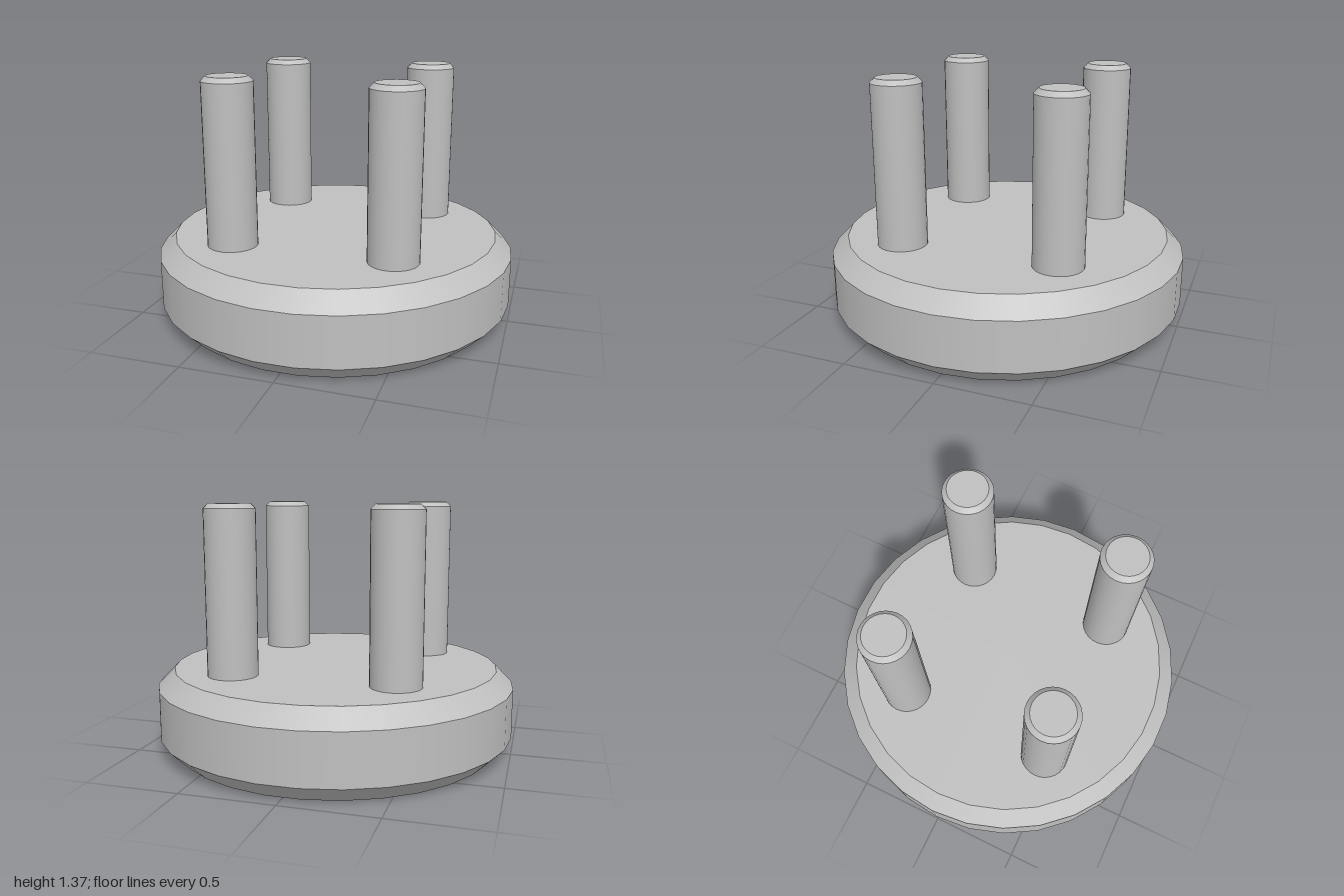
import * as THREE from 'three';

// Solid of revolution from [radius, y] pairs: each band is smooth, edges between bands stay sharp.
function turned(name, profile, sides, material) {
  const group = new THREE.Group();
  group.name = name;
  for (let i = 0; i < profile.length - 1; i++) {
    const [r0, y0] = profile[i];
    const [r1, y1] = profile[i + 1];
    const band = new THREE.CylinderGeometry(r1, r0, y1 - y0, sides, 1, true, Math.PI / 2);
    band.translate(0, (y0 + y1) / 2, 0);
    const mesh = new THREE.Mesh(band, material);
    mesh.name = `${name}Band${i + 1}`;
    group.add(mesh);
  }
  // flat end faces
  const ends = [['Bottom', profile[0], 1], ['Top', profile[profile.length - 1], -1]];
  for (const [label, [r, y], turn] of ends) {
    const cap = new THREE.CircleGeometry(r, sides);
    cap.rotateX(turn * Math.PI / 2);
    cap.translate(0, y, 0);
    const mesh = new THREE.Mesh(cap, material);
    mesh.name = name + label;
    group.add(mesh);
  }
  return group;
}

export function createModel() {
  const model = new THREE.Group();
  model.name = 'pinnedDisc';
  const grey = new THREE.MeshStandardMaterial({ color: 0xc0c0c0 });
  grey.name = 'grey';

  // Round base, chamfered above and below
  const base = [[0.908, 0], [1, 0.092], [1, 0.365], [0.908, 0.457]];
  model.add(turned('base', base, 30, grey));

  // Four upright pins with chamfered tips, sunk slightly into the base
  const pin = [[0.136, 0.44], [0.136, 1.34], [0.11, 1.366]];
  for (const [side, x] of [['Left', 0.444], ['Right', -0.444]]) {
    for (const [end, z] of [['front', 0.444], ['back', -0.444]]) {
      const post = turned(`${end}${side}Pin`, pin, 28, grey);
      post.position.set(x, 0, z);
      model.add(post);
    }
  }
  return model;
}
